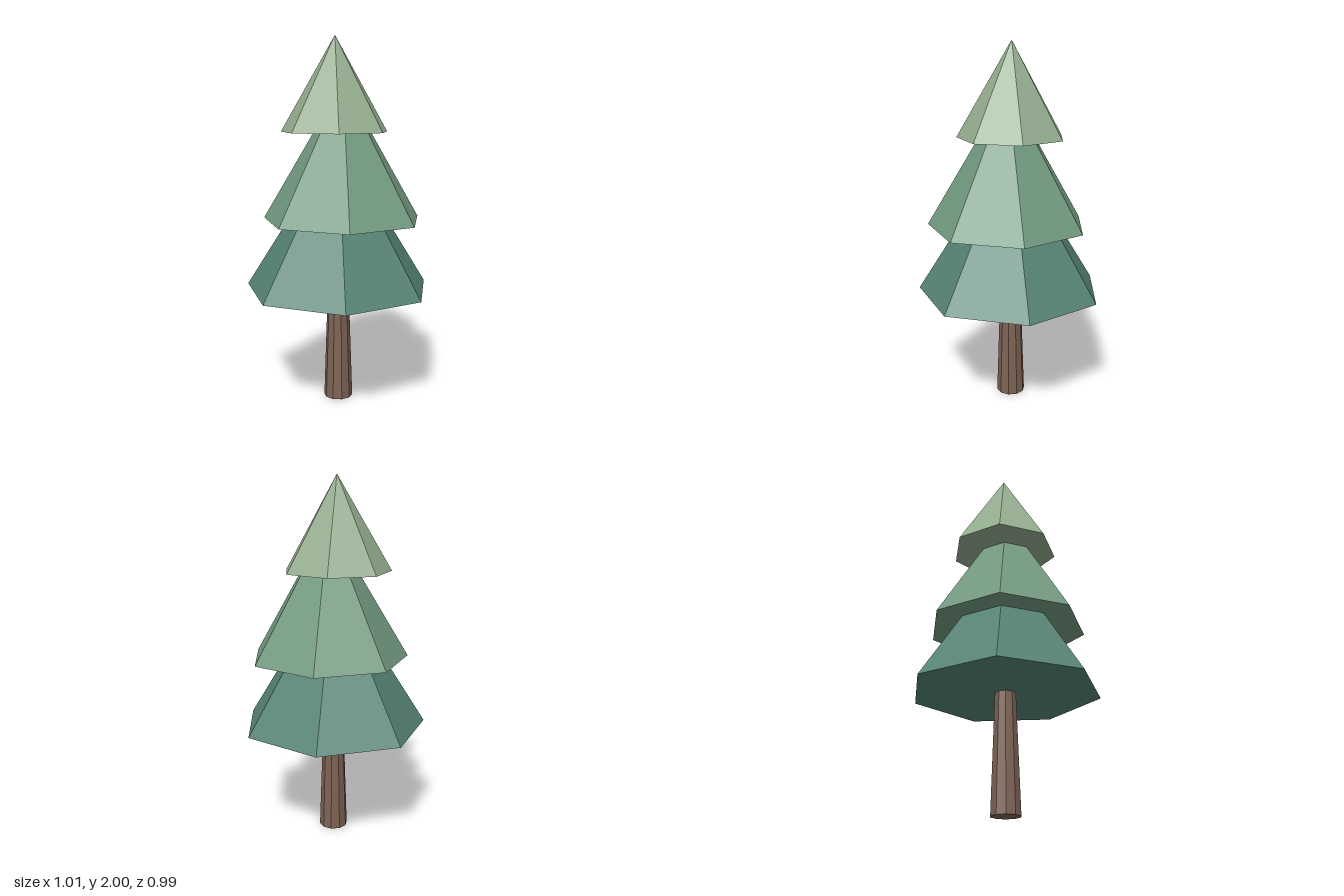
import * as THREE from 'three';

const AXIS_Z = 0.025; // the tree's axis sits slightly forward of centre

function paint(color) {
  return new THREE.MeshStandardMaterial({ color, flatShading: true });
}

export function createModel() {
  const tree = new THREE.Group();
  tree.name = 'pineTree';

  // Tapered ten-sided trunk, its top tucked inside the lowest tier
  const trunkHeight = 0.7;
  const trunk = new THREE.Mesh(
    new THREE.CylinderGeometry(0.056, 0.08, trunkHeight, 10),
    paint(0x7d6254)
  );
  trunk.name = 'trunk';
  trunk.position.set(0, trunkHeight / 2, AXIS_Z);
  tree.add(trunk);

  // Three overlapping seven-sided cones, one corner pointing to the back
  const tiers = [
    { name: 'lowerFoliage', x: 0, base: 0.635, apex: 1.455, radius: 0.52, color: 0x568474 },
    { name: 'middleFoliage', x: 0.027, base: 1.02, apex: 1.76, radius: 0.443, color: 0x739a80 },
    { name: 'upperFoliage', x: -0.018, base: 1.495, apex: 2, radius: 0.299, color: 0x95ae90 },
  ];
  for (const { name, x, base, apex, radius, color } of tiers) {
    const height = apex - base;
    const cone = new THREE.ConeGeometry(radius, height, 7, 1, false, Math.PI);
    const foliage = new THREE.Mesh(cone, paint(color));
    foliage.name = name;
    foliage.position.set(x, base + height / 2, AXIS_Z);
    tree.add(foliage);
  }

  return tree;
}
